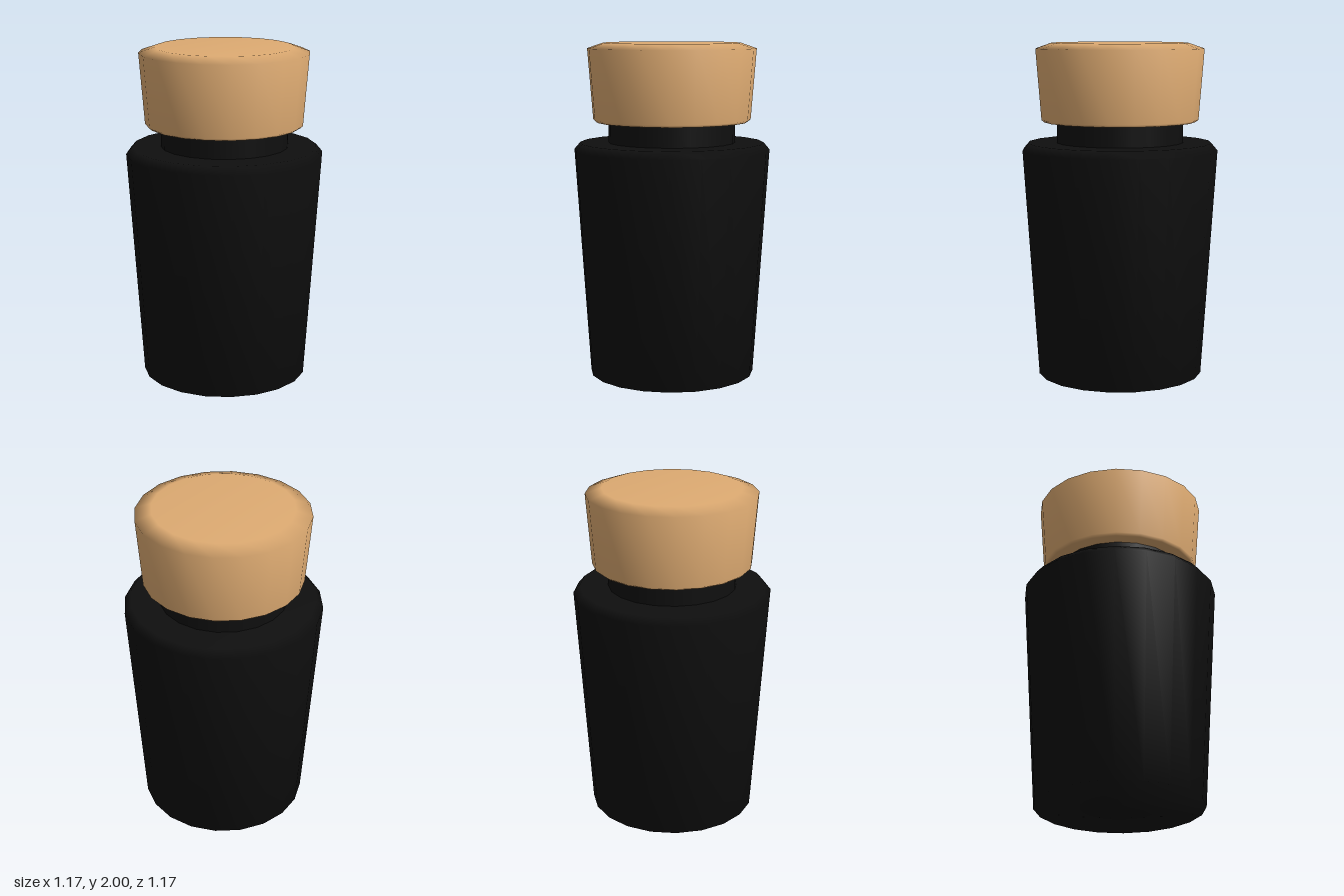
import * as THREE from 'three';

const SIDES = 20;

export function createModel() {
  const model = new THREE.Group();
  model.name = 'stopperedBottle';

  const black = new THREE.MeshStandardMaterial({ color: 0x0f0f0f });
  black.name = 'black glaze';
  const wood = new THREE.MeshStandardMaterial({ color: 0xdeab72 });
  wood.name = 'light wood';

  // Turned part from [radius, height] pairs, listed bottom to top
  function turned(name, profile, material) {
    const points = profile.map(([r, y]) => new THREE.Vector2(r, y));
    const mesh = new THREE.Mesh(new THREE.LatheGeometry(points, SIDES), material);
    mesh.name = name;
    model.add(mesh);
  }

  // Tapered body with a chamfered shoulder
  turned('body', [[0, 0], [0.497, 0], [0.587, 1.365], [0.55, 1.408], [0, 1.408]], black);

  // Straight neck, running slightly into the body and the lid
  turned('neck', [[0.38, 1.39], [0.38, 1.55]], black);

  // Flared lid with a small lower bevel and a wide top bevel
  turned('lid', [[0, 1.532], [0.455, 1.532], [0.472, 1.546], [0.505, 1.967], [0.41, 2], [0, 2]], wood);

  return model;
}
